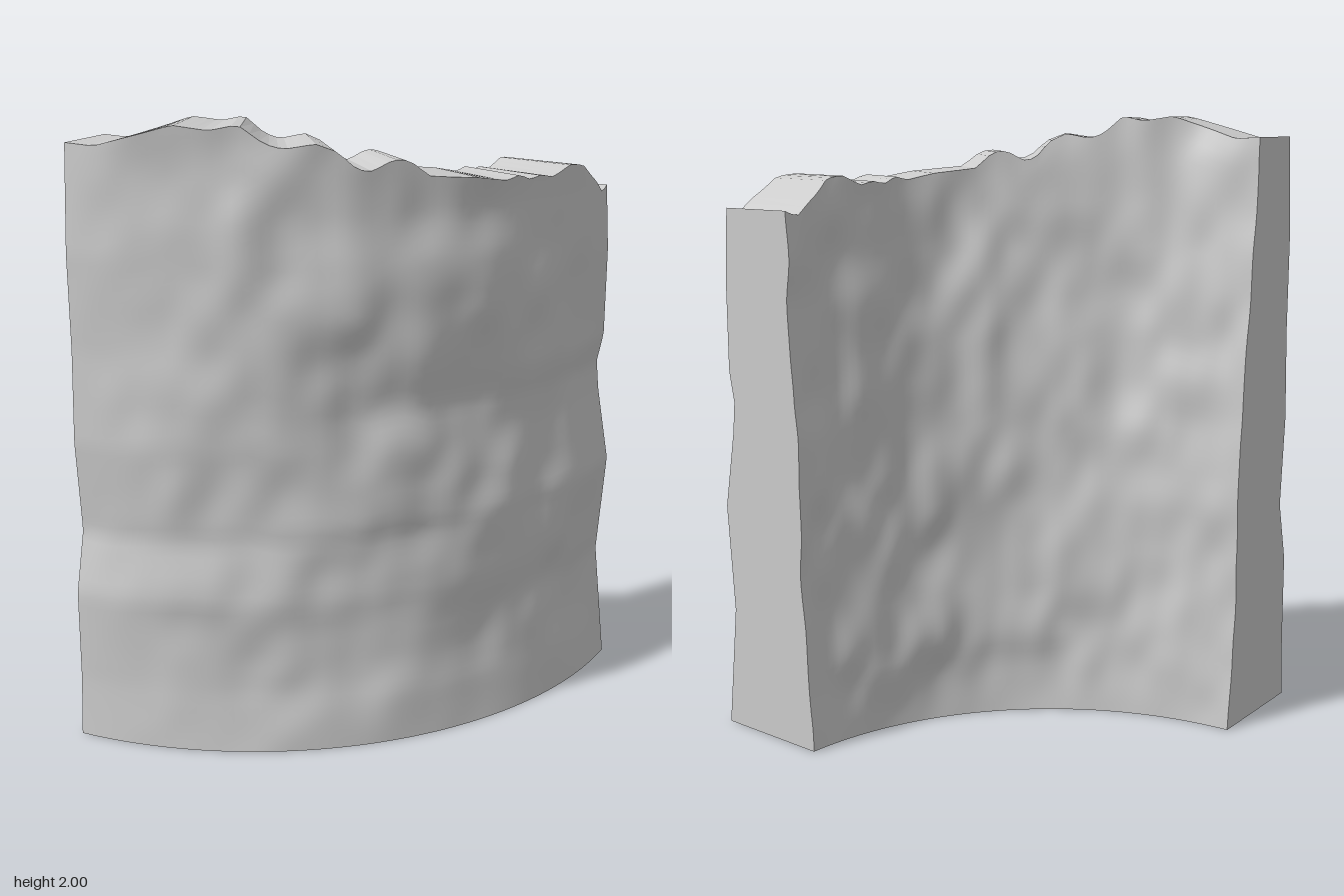
import * as THREE from 'three';

const CX = -0.7, CZ = -0.745, SWEEP = 1.497;

// piecewise-linear profile lookup: [position, value] pairs
function sample(table, p) {
  for (let i = 1; i < table.length; i++) {
    const [p0, v0] = table[i - 1], [p1, v1] = table[i];
    if (p <= p1) return THREE.MathUtils.lerp(v0, v1, Math.max(0, (p - p0) / (p1 - p0)));
  }
  return table[table.length - 1][1];
}

// weathered top line, by angle around the arc
const TOP = [[0, 1.935], [0.075, 1.93], [0.2, 1.975], [0.266, 2], [0.346, 1.985], [0.41, 2], [0.468, 1.945],
  [0.51, 1.93], [0.58, 1.945], [0.63, 1.92], [0.675, 1.865], [0.71, 1.86], [0.76, 1.89], [0.8, 1.885],
  [0.85, 1.835], [0.976, 1.82], [1.064, 1.8], [1.107, 1.812], [1.149, 1.79], [1.19, 1.8], [1.229, 1.788],
  [1.293, 1.82], [1.347, 1.81], [1.386, 1.77], [1.423, 1.74], [1.46, 1.7], [1.5, 1.72]];
// outer radius by height at each end of the arc
const OUTER_START = [[0, 1.415], [0.2, 1.4], [0.5, 1.395], [0.7, 1.345], [1, 1.365], [1.3, 1.35], [1.6, 1.35], [1.94, 1.325]];
const OUTER_END = [[0, 1.405], [0.4, 1.36], [0.75, 1.385], [1, 1.34], [1.1, 1.33], [1.2, 1.35], [1.5, 1.35], [1.72, 1.335]];

// smooth seeded value noise in -1..1
function hash(i, j, seed) {
  const s = Math.sin(i * 127.1 + j * 311.7 + seed * 74.7) * 43758.5453;
  return (s - Math.floor(s)) * 2 - 1;
}
function noise(x, y, seed) {
  const i = Math.floor(x), j = Math.floor(y);
  const u = THREE.MathUtils.smoothstep(x - i, 0, 1), v = THREE.MathUtils.smoothstep(y - j, 0, 1);
  const mix = THREE.MathUtils.lerp;
  return mix(mix(hash(i, j, seed), hash(i + 1, j, seed), u),
    mix(hash(i, j + 1, seed), hash(i + 1, j + 1, seed), u), v);
}
function bumps(a, y, seed) {
  const fade = Math.min(1, y / 0.2);
  return fade * (0.02 * noise(a * 5, y * 3.5, seed) + 0.011 * noise(a * 12, y * 7, seed + 5));
}

function outerRadius(a, y) {
  const t = a / SWEEP;
  const base = THREE.MathUtils.lerp(sample(OUTER_START, y), sample(OUTER_END, y), t);
  return base + bumps(a, y, 1) * Math.min(1, 6 * t, 6 * (1 - t));
}
function innerRadius(a, y) {
  const topR = THREE.MathUtils.lerp(1.1, 1.065, a / SWEEP);
  return THREE.MathUtils.lerp(1, topR, y / 1.9) + bumps(a, y, 9);
}

// point on the wall: a = angle, k = 0 inner .. 1 outer, h = 0 base .. 1 top
function wallPoint(a, k, h) {
  const y = sample(TOP, a) * h;
  const r = THREE.MathUtils.lerp(innerRadius(a, y), outerRadius(a, y), k);
  return [CX + r * Math.sin(a), y, CZ + r * Math.cos(a)];
}

function panel(name, nu, nv, rule, flatShading = false) {
  const geo = new THREE.PlaneGeometry(1, 1, nu, nv);
  const pos = geo.attributes.position;
  for (let i = 0; i < pos.count; i++) pos.setXYZ(i, ...rule(pos.getX(i) + 0.5, pos.getY(i) + 0.5));
  geo.computeVertexNormals();
  const mesh = new THREE.Mesh(geo, new THREE.MeshStandardMaterial({
    color: 0xcccccc, side: THREE.DoubleSide, flatShading }));
  mesh.name = name;
  return mesh;
}

export function createModel() {
  const group = new THREE.Group();
  group.name = 'curvedWall';
  const NA = 72, NH = 64;
  group.add(
    // rough curved faces
    panel('outerFace', NA, NH, (u, v) => wallPoint(u * SWEEP, 1, v)),
    panel('innerFace', NA, NH, (u, v) => wallPoint((1 - u) * SWEEP, 0, v)),
    // broken top edge
    panel('topEdge', NA, 1, (u, v) => wallPoint(u * SWEEP, 1 - v, 1), true),
    // flat cut ends; the base stays open
    panel('startEnd', 1, NH, (u, v) => wallPoint(0, u, v), true),
    panel('finishEnd', 1, NH, (u, v) => wallPoint(SWEEP, 1 - u, v), true),
  );
  return group;
}
